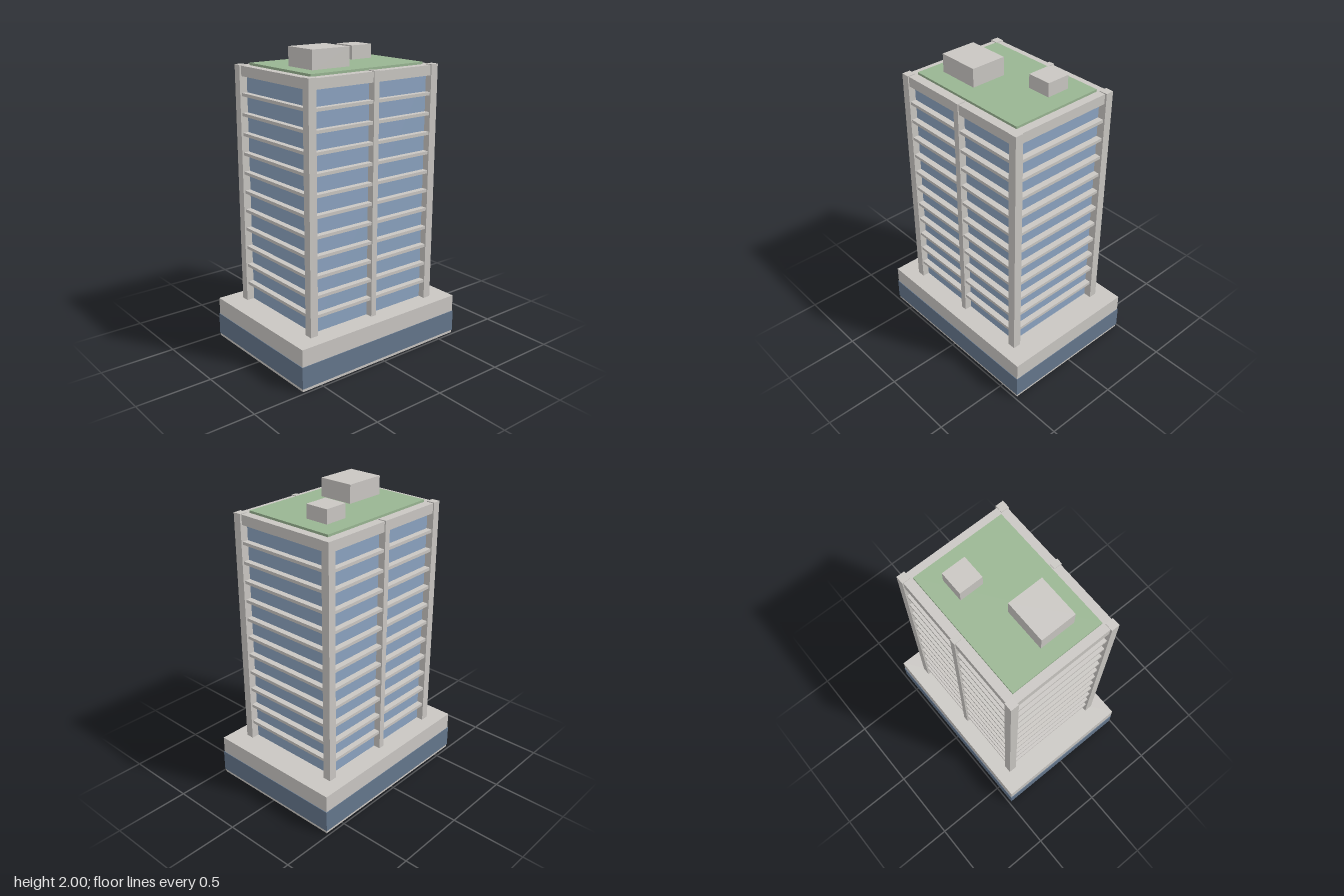
import * as THREE from 'three';

export function createModel() {
  const model = new THREE.Group();
  model.name = 'towerBlock';

  const material = (name, color) => {
    const m = new THREE.MeshStandardMaterial({ color });
    m.name = name;
    return m;
  };
  const concrete = material('concrete', 0xc9c6c2);
  const glass = material('blueGlass', 0x8ba3c0);
  const darkGlass = material('darkGlass', 0x64768c);
  const green = material('roofGreen', 0x99b592);

  // Box given by its extents on each axis
  const box = (name, mat, [x0, x1], [y0, y1], [z0, z1], parent = model) => {
    const mesh = new THREE.Mesh(new THREE.BoxGeometry(x1 - x0, y1 - y0, z1 - z0), mat);
    mesh.position.set((x0 + x1) / 2, (y0 + y1) / 2, (z0 + z1) / 2);
    mesh.name = name;
    parent.add(mesh);
    return mesh;
  };
  const span = (half, centre = 0) => [centre - half, centre + half];

  // Podium with a band of dark glazing
  box('podium', concrete, span(0.64), [0, 0.28], span(0.481));
  box('podiumGlazing', darkGlass, span(0.644), [0.02, 0.165], span(0.485));

  // Glazed tower core
  box('towerGlass', glass, span(0.455), [0.28, 1.81], span(0.34));

  // Floor slabs
  const slabs = new THREE.Group();
  slabs.name = 'floorSlabs';
  model.add(slabs);
  for (let i = 0; i < 11; i++) {
    const y = 0.404 + i * 0.128;
    box('floorSlab', concrete, span(0.495), span(0.01, y), span(0.38), slabs);
  }

  // Roof slab and columns
  box('roofSlab', concrete, span(0.495), [1.8, 1.865], span(0.38));
  const columns = new THREE.Group();
  columns.name = 'columns';
  model.add(columns);
  for (const sz of [-1, 1]) {
    for (const sx of [-1, 1]) {
      box('cornerColumn', concrete, span(0.0275, sx * 0.48), [0.28, 1.87], span(0.0275, sz * 0.36), columns);
    }
    box('middleColumn', concrete, span(0.02), [0.28, 1.87], span(0.0275, sz * 0.36), columns);
  }

  // Green roof and plant rooms
  box('greenRoof', green, span(0.44), [1.86, 1.88], span(0.32));
  box('largePlantRoom', concrete, [-0.34, -0.06], [1.87, 2.0], [-0.04, 0.2]);
  box('smallPlantRoom', concrete, [0.16, 0.32], [1.87, 1.97], [-0.2, -0.04]);

  return model;
}
